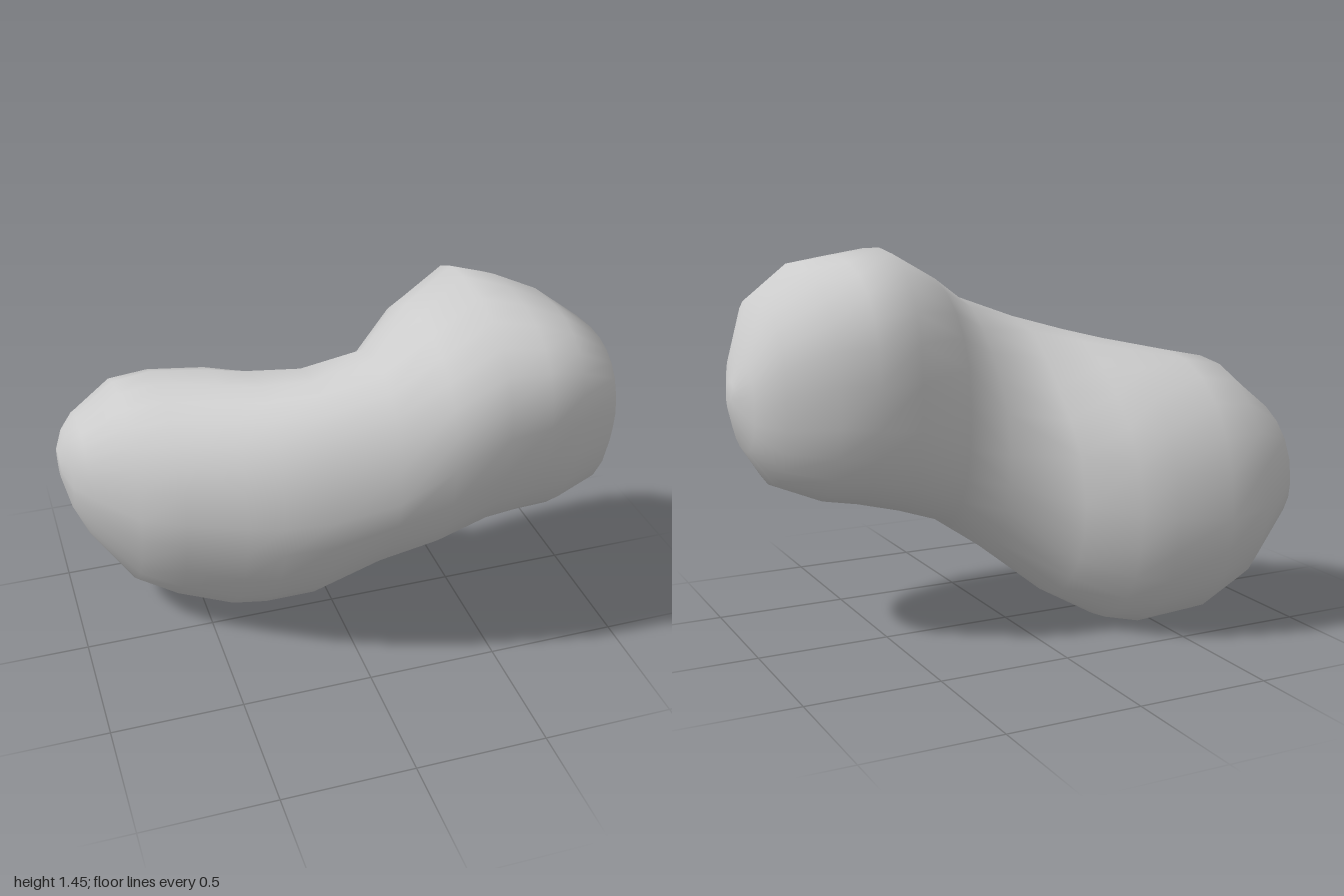
import * as THREE from 'three';

// Cross-sections along x:
// [x, bottom y, top y, back z, front z, z of top, z of bottom, y of front, y of back]
const SECTIONS = [
  [-1, 0.6, 0.71, -0.39, -0.26, -0.33, -0.33, 0.66, 0.66],
  [-0.97, 0.46, 0.79, -0.49, -0.16, -0.3, -0.33, 0.64, 0.6],
  [-0.92, 0.35, 0.87, -0.57, -0.05, -0.22, -0.3, 0.66, 0.57],
  [-0.77, 0.13, 1.01, -0.63, 0.14, -0.17, -0.27, 0.65, 0.51],
  [-0.62, 0.04, 1.04, -0.63, 0.23, -0.15, -0.26, 0.66, 0.47],
  [-0.42, 0, 1.08, -0.58, 0.35, 0, -0.2, 0.68, 0.49],
  [-0.3, 0.02, 1.11, -0.52, 0.42, 0.1, -0.16, 0.7, 0.5],
  [-0.13, 0.11, 1.16, -0.4, 0.49, 0.2, -0.04, 0.74, 0.53],
  [0.08, 0.285, 1.24, -0.21, 0.56, 0.25, 0.07, 0.82, 0.7],
  [0.26, 0.41, 1.35, -0.25, 0.615, 0.2, 0.1, 0.96, 0.9],
  [0.45, 0.475, 1.45, -0.26, 0.63, 0.13, 0.1, 1.06, 1.0],
  [0.6, 0.51, 1.42, -0.24, 0.63, 0.2, 0.14, 1.08, 1.0],
  [0.72, 0.525, 1.39, -0.17, 0.62, 0.31, 0.17, 1.08, 1.0],
  [0.88, 0.59, 1.27, -0.06, 0.55, 0.31, 0.2, 1.05, 0.95],
  [0.96, 0.72, 1.08, 0.07, 0.42, 0.27, 0.22, 0.95, 0.9],
  [1, 0.85, 0.98, 0.17, 0.29, 0.23, 0.23, 0.92, 0.92],
];
const SIDES = 24;

// Roundness of each quarter: below 1 is fuller, above 1 is flatter
function roundness(x, top, front) {
  const upperLobe = x > 0.2;
  if (top) return front || upperLobe ? 0.86 : 0.93;
  if (front) return upperLobe ? 0.97 : 1.22;
  return upperLobe ? 0.84 : 0.95;
}

// Point on a section: four quarter-ellipses joined at its extreme points
function sectionPoint([x, y0, y1, z0, z1, topZ, bottomZ, frontY, backY], t) {
  const top = Math.sin(t) > 0;
  const front = Math.cos(t) > 0;
  const power = roundness(x, top, front);
  let c = Math.abs(Math.cos(t)) ** power;
  let s = Math.abs(Math.sin(t)) ** power;
  // Dent behind the waist, between the two lobes
  if (top && !front) {
    const dent = 1 - 0.13 * Math.exp(-(((x + 0.08) / 0.25) ** 2)) * Math.sin(2 * t) ** 2;
    c *= dent;
    s *= dent;
  }
  const midZ = top ? topZ : bottomZ;
  const midY = front ? frontY : backY;
  return [x, midY + s * ((top ? y1 : y0) - midY), midZ + c * ((front ? z1 : z0) - midZ)];
}

function loftBody() {
  const positions = [];
  const index = [];
  for (const section of SECTIONS) {
    for (let j = 0; j < SIDES; j++) {
      positions.push(...sectionPoint(section, (j / SIDES) * Math.PI * 2));
    }
  }
  // Skin between neighbouring sections
  const last = SECTIONS.length - 1;
  for (let i = 0; i < last; i++) {
    for (let j = 0; j < SIDES; j++) {
      const k = (j + 1) % SIDES;
      const a = i * SIDES + j, b = a + SIDES;
      const c = (i + 1) * SIDES + k, d = i * SIDES + k;
      index.push(a, b, c, a, c, d);
    }
  }
  // Close both ends with a centre point
  for (const i of [0, last]) {
    const [x, y0, y1, z0, z1] = SECTIONS[i];
    const pole = positions.length / 3;
    positions.push(x, (y0 + y1) / 2, (z0 + z1) / 2);
    for (let j = 0; j < SIDES; j++) {
      const a = i * SIDES + j, b = i * SIDES + (j + 1) % SIDES;
      if (i === 0) index.push(pole, a, b);
      else index.push(pole, b, a);
    }
  }
  const geometry = new THREE.BufferGeometry();
  geometry.setAttribute('position', new THREE.Float32BufferAttribute(positions, 3));
  geometry.setIndex(index);
  geometry.computeVertexNormals();
  return geometry;
}

export function createModel() {
  const group = new THREE.Group();
  group.name = 'bean';
  const body = new THREE.Mesh(loftBody(), new THREE.MeshStandardMaterial({ color: 0xcccccc }));
  body.name = 'beanBody';
  group.add(body);
  return group;
}
